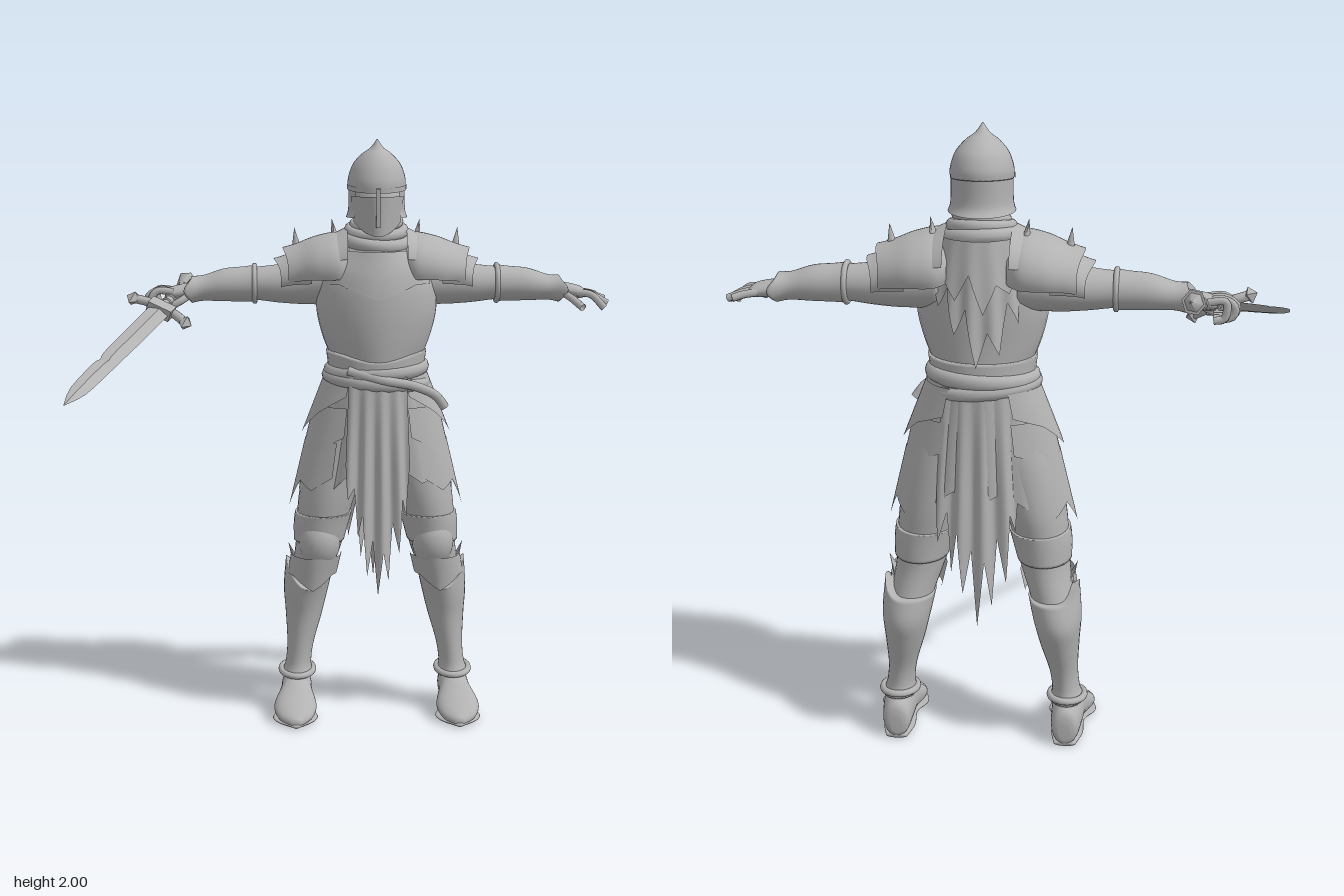
import * as THREE from 'three';

const steel = new THREE.MeshStandardMaterial({ color: 0xb2b2b2, side: THREE.DoubleSide });
steel.name = 'grey steel';

function add(parent, name, geo, pos = [0, 0, 0], scale = [1, 1, 1], rot = [0, 0, 0]) {
  const m = new THREE.Mesh(geo, steel);
  m.name = name;
  m.position.set(...pos);
  m.scale.set(...scale);
  m.rotation.set(...rot);
  parent.add(m);
  return m;
}

const cubic = (a, b, c, d, t) =>
  b + 0.5 * t * (c - a + t * (2 * a - 5 * b + 4 * c - d + t * (3 * (b - c) + d - a)));

// Smooth skin over elliptical rings; row = [along axis, centre p, centre q, radius p, radius q].
function loft(rows, { axis = 'y', seg = 32, sub = 5, a0 = 0, a1 = Math.PI * 2, mod } = {}) {
  const pos = [], idx = [], closed = a1 - a0 > 6.28, n = closed ? seg : seg + 1;
  const count = (rows.length - 1) * sub;
  const put = (t, p, q) => pos.push(...(axis === 'y' ? [p, t, q] : axis === 'x' ? [t, p, q] : [p, q, t]));
  const flip = (axis !== 'y') !== (rows[0][0] > rows[rows.length - 1][0]);
  const tri = (a, b, c) => (flip ? idx.push(a, c, b) : idx.push(a, b, c));
  for (let i = 0; i <= count; i++) {
    const k = Math.min(Math.floor(i / sub), rows.length - 2), f = i / sub - k;
    const at = (j) => rows[Math.max(0, Math.min(rows.length - 1, j))];
    const [t, p, q, rp, rq] = rows[0].map((_, c) =>
      cubic(at(k - 1)[c], at(k)[c], at(k + 1)[c], at(k + 2)[c], f));
    for (let j = 0; j < n; j++) {
      const a = a0 + ((a1 - a0) * j) / seg;
      const v = [t, p + rp * Math.sin(a), q + rq * Math.cos(a)];
      if (mod) mod(v, a, i / count);
      put(...v);
    }
  }
  for (let i = 0; i < count; i++) for (let j = 0; j < seg; j++) {
    const a = i * n + j, b = i * n + ((j + 1) % n);
    tri(a, b, b + n);
    tri(a, b + n, a + n);
  }
  if (closed) [0, count].forEach((i) => {
    const r = rows[i ? rows.length - 1 : 0], c = pos.length / 3;
    put(r[0], r[1], r[2]);
    for (let j = 0; j < n; j++) {
      const a = i * n + j, b = i * n + ((j + 1) % n);
      i ? tri(a, b, c) : tri(b, a, c);
    }
  });
  const g = new THREE.BufferGeometry();
  g.setAttribute('position', new THREE.Float32BufferAttribute(pos, 3));
  g.setIndex(idx);
  g.computeVertexNormals();
  return g;
}

// Hanging sheet around the body: lens gives the ragged hem, radii run from top to the height `drop` below.
function sheet(a0, a1, top, lens, r0, r1, { drop = 0.4, cz = -0.305, fold = 0, folds = 5 } = {}) {
  const cols = (lens.length - 1) * 4, g = new THREE.PlaneGeometry(1, 1, cols, 14), p = g.attributes.position;
  for (let i = 0; i < p.count; i++) {
    const u = p.getX(i) + 0.5, v = 0.5 - p.getY(i), s = u * (lens.length - 1);
    const k = Math.min(Math.floor(s), lens.length - 2);
    const d = v * THREE.MathUtils.lerp(lens[k], lens[k + 1], s - k), h = d / drop, a = a0 + (a1 - a0) * u;
    const w = fold * Math.min(1, h + 0.2) * Math.sin(u * Math.PI * 2 * folds);
    p.setXYZ(i, (r0[0] + (r1[0] - r0[0]) * h + w) * Math.sin(a), top - d,
      cz + (r0[1] + (r1[1] - r0[1]) * h + w) * Math.cos(a));
  }
  g.computeVertexNormals();
  return g;
}

const tube = (pts, r, n = 16) => new THREE.TubeGeometry(
  new THREE.CatmullRomCurve3(pts.map((p) => new THREE.Vector3(...p))), n, r, 8);
const ball = () => new THREE.SphereGeometry(1, 24, 16);
const ring = (r, t) => new THREE.TorusGeometry(r, t, 10, 40).rotateX(Math.PI / 2);

function torso(body) {
  const ridge = (v, a) => { v[2] += 0.012 * Math.max(0, Math.cos(a)) ** 8; };
  add(body, 'breastplate', loft([[1.22, 0, -0.295, 0.15, 0.14], [1.26, 0, -0.29, 0.155, 0.14],
    [1.34, 0, -0.285, 0.185, 0.145], [1.43, 0, -0.285, 0.205, 0.15], [1.52, 0, -0.29, 0.2, 0.15],
    [1.6, 0, -0.305, 0.17, 0.14], [1.66, 0, -0.31, 0.11, 0.115], [1.71, 0, -0.3, 0.085, 0.09]], { mod: ridge }));
  add(body, 'upperChestPlate', loft([[1.52, 0, -0.29, 0.2, 0.158], [1.57, 0, -0.297, 0.187, 0.154],
    [1.63, 0, -0.305, 0.14, 0.138]], { a0: -1.1, a1: 1.1, mod: (v, a, t) => {
    ridge(v, a);
    v[0] -= (1 - t) * 0.05 * Math.max(0, 1 - Math.abs(a) / 0.7);
  } }));
  add(body, 'waistPlate', loft([[1.23, 0, -0.29, 0.165, 0.15], [1.29, 0, -0.288, 0.172, 0.15]],
    { mod: (v, a) => { v[0] -= 0.03 * Math.max(0, Math.cos(a)) ** 4; } }));
  [[1.665, 0.105, 0.022], [1.695, 0.092, 0.018], [1.72, 0.078, 0.014]].forEach(([y, r, t], i) =>
    add(body, 'collarFold', ring(r, t), [0, y, -0.3], [1, 1.1, 1.08], [0.18, 0, (i - 1) * 0.07]));
  add(body, 'tornCape', sheet(Math.PI - 0.95, Math.PI + 0.95, 1.67, [0.1, 0.2, 0.14, 0.28, 0.2, 0.38, 0.27, 0.34, 0.18, 0.25, 0.1],
    [0.15, 0.145], [0.2, 0.175], { fold: 0.008 }));
  add(body, 'tornCapeOverlay', sheet(Math.PI - 1.1, Math.PI + 1.1, 1.68, [0.05, 0.1, 0.12, 0.18, 0.1, 0.22, 0.13, 0.16, 0.1, 0.06],
    [0.14, 0.15], [0.23, 0.21], { fold: 0.006 }));
}

function helmet(body) {
  add(body, 'helmetCrown', loft([[1.838, 0, -0.28, 0.097, 0.12], [1.87, 0, -0.28, 0.097, 0.119],
    [1.915, 0, -0.278, 0.082, 0.1], [1.95, 0, -0.27, 0.052, 0.066], [1.972, 0, -0.262, 0.022, 0.028],
    [2, 0, -0.255, 0.002, 0.002]], { mod: (v, a, t) => { v[0] -= 0.012 * (1 - t) * Math.cos(a); } }));
  add(body, 'head', ball(), [0, 1.79, -0.28], [0.086, 0.1, 0.1]);
  add(body, 'helmetBack', loft([[1.74, 0, -0.29, 0.104, 0.125], [1.77, 0, -0.285, 0.096, 0.11],
    [1.85, 0, -0.28, 0.095, 0.113]], { a0: 0.85, a1: 5.43 }));
  add(body, 'visor', loft([[1.735, 0, -0.275, 0.087, 0.1], [1.78, 0, -0.278, 0.093, 0.11],
    [1.812, 0, -0.28, 0.097, 0.118]], { a0: -1.15, a1: 1.15, mod: (v, a, t) => {
    const c = Math.max(0, Math.cos(a));
    v[0] -= 0.055 * (1 - t) * c ** 2;
    v[2] += 0.014 * c ** 8;
  } }));
  add(body, 'nasalRidge', new THREE.BoxGeometry(0.014, 0.13, 0.014), [0, 1.775, -0.153], [1, 1, 1], [0.08, 0, 0]);
  add(body, 'browBand', loft([[1.835, 0, -0.28, 0.1, 0.124], [1.852, 0, -0.28, 0.1, 0.125]], { a0: -1.5, a1: 1.5,
    mod: (v, a) => { v[0] -= 0.012 * Math.cos(a); } }));
}

function skirt(body) {
  add(body, 'hips', loft([[0.86, 0, -0.305, 0.1, 0.1], [0.95, 0, -0.305, 0.2, 0.13],
    [1.1, 0, -0.3, 0.2, 0.14], [1.25, 0, -0.295, 0.15, 0.138]]));
  add(body, 'underskirt', sheet(0, Math.PI * 2, 1.24, [0.36, 0.34, 0.4, 0.38, 0.45, 0.41, 0.47, 0.36, 0.42, 0.36, 0.4,
    0.36, 0.42, 0.36, 0.47, 0.41, 0.46, 0.38, 0.42, 0.35, 0.36], [0.165, 0.14], [0.255, 0.155], { fold: 0.008, folds: 12 }));
  add(body, 'waistSash', ring(0.158, 0.024), [0, 1.225, -0.295], [1, 1.1, 0.9], [0.05, 0, 0.05]);
  add(body, 'waistSashLower', ring(0.168, 0.02), [0, 1.19, -0.295], [1, 1.1, 0.88], [0.05, 0, -0.08]);
  add(body, 'sashTail', tube([[-0.1, 1.23, -0.165], [0.02, 1.2, -0.138], [0.12, 1.18, -0.155],
    [0.2, 1.14, -0.19], [0.23, 1.1, -0.2]], 0.016));
  add(body, 'frontCloth', sheet(-0.46, 0.46, 1.21, [0.3, 0.42, 0.38, 0.55, 0.47, 0.68, 0.56, 0.75, 0.6, 0.7, 0.5, 0.6, 0.42, 0.48, 0.3],
    [0.22, 0.162], [0.255, 0.175], { fold: 0.009, folds: 4 }));
  add(body, 'backCloth', sheet(Math.PI - 0.6, Math.PI + 0.6, 1.21, [0.3, 0.5, 0.4, 0.6, 0.46, 0.66, 0.52, 0.77, 0.55, 0.7, 0.48, 0.62, 0.4, 0.46, 0.3],
    [0.2, 0.14], [0.24, 0.165], { fold: 0.009, folds: 4 }));
}

// Everything on one flank, in coordinates for the model's left.
function flank(side, curled) {
  // hip plates
  [[0.55, 2.6, 1.21, [0.07, 0.13, 0.21, 0.13, 0.09], 0.176, 0.152, 0.33], [0.5, 2.65, 1.1, [0.1, 0.16, 0.25, 0.14, 0.1], 0.215, 0.152, 0.31],
    [0.6, 2.5, 0.98, [0.12, 0.17, 0.14, 0.24, 0.16, 0.2, 0.1], 0.245, 0.154, 0.34]].forEach(([a0, a1, y, lens, rx, rz, bx]) =>
    add(side, 'hipPlate', sheet(a0, a1, y, lens, [rx, rz], [bx, 0.178])));
  // leg
  add(side, 'leg', loft([[1.08, 0.1, -0.305, 0.1, 0.12], [0.95, 0.13, -0.31, 0.11, 0.125], [0.8, 0.165, -0.31, 0.1, 0.125],
    [0.7, 0.185, -0.31, 0.09, 0.115], [0.6, 0.2, -0.315, 0.08, 0.105], [0.5, 0.225, -0.345, 0.07, 0.09],
    [0.4, 0.245, -0.365, 0.065, 0.09], [0.25, 0.262, -0.345, 0.042, 0.066], [0.1, 0.275, -0.34, 0.042, 0.066]]));
  add(side, 'thighCuff', loft([[0.72, 0.182, -0.31, 0.099, 0.124], [0.68, 0.19, -0.312, 0.096, 0.12],
    [0.62, 0.198, -0.315, 0.088, 0.115]]));
  add(side, 'kneeCap', ball(), [0.197, 0.62, -0.262], [0.072, 0.095, 0.078], [0.1, 0.15, 0]);
  add(side, 'kneeWing', new THREE.ConeGeometry(0.045, 0.12, 12), [0.285, 0.55, -0.32], [0.4, 1, 1.3], [0, 0, -0.35]);
  add(side, 'kneeLame', loft([[0.5, 0.222, -0.318, 0.086, 0.1], [0.57, 0.208, -0.312, 0.088, 0.116]], { a0: -1.7, a1: 1.9,
    mod: (v, a, t) => { v[0] -= (1 - t) * 0.05 * Math.max(0, 1 - Math.abs(a) / 0.9); } }));
  add(side, 'greave', loft([[0.5, 0.232, -0.35, 0.082, 0.108], [0.42, 0.245, -0.365, 0.077, 0.108],
    [0.34, 0.252, -0.36, 0.064, 0.09], [0.24, 0.264, -0.345, 0.047, 0.07], [0.17, 0.272, -0.34, 0.045, 0.067],
    [0.13, 0.276, -0.34, 0.056, 0.08]], { mod: (v, a, t) => {
    v[0] += (1 - t) ** 4 * (0.05 * Math.max(0, Math.sin(a)) ** 4 - 0.05 * Math.max(0, Math.cos(a)) ** 3);
  } }));
  add(side, 'ankleBand', ring(0.056, 0.011), [0.276, 0.14, -0.34], [1, 1, 1.35], [0.1, 0, 0]);
  add(side, 'boot', loft([[-0.445, 0.275, 0.05, 0.02, 0.03], [-0.43, 0.276, 0.062, 0.043, 0.06], [-0.36, 0.278, 0.075, 0.052, 0.074],
    [-0.28, 0.28, 0.068, 0.056, 0.064], [-0.2, 0.284, 0.045, 0.074, 0.043], [-0.13, 0.284, 0.028, 0.058, 0.027],
    [-0.085, 0.282, 0.015, 0.015, 0.014]], { axis: 'z', mod: (v) => { v[2] = Math.max(v[2], 0.004); } }));
  add(side, 'bootSole', loft([[-0.44, 0.276, 0.008, 0.035, 0.008], [-0.36, 0.278, 0.008, 0.052, 0.008],
    [-0.28, 0.28, 0.014, 0.05, 0.008], [-0.2, 0.284, 0.008, 0.078, 0.008], [-0.13, 0.284, 0.008, 0.06, 0.008],
    [-0.078, 0.282, 0.008, 0.01, 0.006]], { axis: 'z' }));
  // arm
  add(side, 'arm', loft([[0.12, 1.53, -0.32, 0.09, 0.1], [0.24, 1.52, -0.33, 0.08, 0.085], [0.33, 1.512, -0.33, 0.066, 0.073],
    [0.42, 1.512, -0.33, 0.056, 0.06], [0.5, 1.507, -0.33, 0.055, 0.056], [0.63, 1.49, -0.33, 0.033, 0.038]], { axis: 'x' }));
  add(side, 'vambrace', loft([[0.41, 1.512, -0.33, 0.064, 0.066], [0.45, 1.51, -0.33, 0.06, 0.063], [0.52, 1.507, -0.33, 0.056, 0.06],
    [0.59, 1.497, -0.33, 0.044, 0.052], [0.63, 1.492, -0.33, 0.046, 0.066]], { axis: 'x', mod: (v, a, t) => {
    v[0] += 0.025 * t ** 4 * Math.abs(Math.cos(a)) ** 4;
  } }));
  add(side, 'elbowBand', ring(0.056, 0.009), [0.415, 1.512, -0.33], [1.08, 1, 1.08], [0, 0, 1.57]);
  // shoulder lames, open underneath
  const lame = (rows, drop) => loft(rows, { axis: 'x', a0: -0.35, a1: Math.PI + 0.35, sub: 6,
    mod: (v, a, t) => { v[0] += drop * t ** 3 * Math.max(0, Math.sin(a)) ** 3; } });
  add(side, 'shoulderPlate', lame([[0.09, 1.575, -0.32, 0.085, 0.13], [0.13, 1.575, -0.32, 0.112, 0.16],
    [0.2, 1.57, -0.325, 0.105, 0.155], [0.26, 1.56, -0.33, 0.09, 0.13], [0.3, 1.55, -0.33, 0.085, 0.115]], 0.02));
  add(side, 'shoulderLame', lame([[0.22, 1.55, -0.33, 0.09, 0.125], [0.29, 1.54, -0.33, 0.076, 0.11],
    [0.325, 1.53, -0.33, 0.068, 0.102]], 0.025));
  add(side, 'shoulderRim', loft([[0.1, 1.58, -0.32, 0.125, 0.165], [0.135, 1.58, -0.32, 0.108, 0.155]], { axis: 'x', a0: 0.2, a1: 2.94 }));
  add(side, 'shoulderSpike', new THREE.ConeGeometry(0.017, 0.075, 12), [0.275, 1.665, -0.33], [1, 1, 1], [0, 0, -0.1]);
  add(side, 'collarSpike', new THREE.ConeGeometry(0.022, 0.07, 12), [0.145, 1.695, -0.35], [0.7, 1, 1.5], [0, 0, -0.15]);
  // hand
  add(side, 'palm', loft([[0.6, 1.495, -0.33, 0.028, 0.033], [0.65, 1.488, -0.328, 0.026, 0.042],
    [0.7, 1.48, -0.326, 0.022, 0.046], [0.72, 1.476, -0.326, 0.012, 0.04]], { axis: 'x' }));
  [0.765, 0.79, 0.795, 0.78].forEach((x, i) => {
    const z = -0.362 + i * 0.024, fan = (i - 1.5) * 0.008;
    add(side, 'finger', tube(curled
      ? [[0.69, 1.487, z], [0.745, 1.49, z], [x - 0.015, 1.465, z], [x - 0.025, 1.435, z], [0.71, 1.43, z]]
      : [[0.69, 1.48, z], [0.735, 1.474, z + fan], [x, 1.43 + (3 - i) * 0.012, z + fan * 2]], 0.0125));
  });
  add(side, 'thumb', tube(curled ? [[0.63, 1.48, -0.3], [0.67, 1.455, -0.275], [0.72, 1.43, -0.28], [0.735, 1.425, -0.29]]
    : [[0.63, 1.485, -0.3], [0.665, 1.465, -0.265], [0.7, 1.435, -0.222]], 0.0135));
}

// Sword laid out along its own y axis with the guard at the origin.
function sword() {
  const g = new THREE.Group();
  g.name = 'sword';
  const blade = loft([[0, 0, 0, 0.036, 0.013], [0.25, 0, 0, 0.035, 0.012], [0.42, 0, 0, 0.032, 0.011], [0.46, 0.004, 0, 0.028, 0.011],
    [0.5, 0, 0, 0.031, 0.01], [0.68, 0, 0, 0.026, 0.009], [0.785, 0, 0, 0.001, 0.001]], { seg: 4, sub: 3 }).toNonIndexed();
  blade.computeVertexNormals();
  add(g, 'blade', blade);
  add(g, 'bladeCollar', new THREE.BoxGeometry(0.085, 0.05, 0.04), [0, 0.01, 0]);
  add(g, 'grip', new THREE.CylinderGeometry(0.016, 0.018, 0.21, 14), [0, -0.11, 0]);
  for (let i = 0; i < 5; i++) add(g, 'gripWrap', ring(0.017, 0.004), [0, -0.04 - i * 0.032, 0]);
  for (const s of [-1, 1]) {
    add(g, 'guardArm', tube([[0, 0, 0], [s * 0.05, 0.002, 0], [s * 0.095, 0.022, 0]], 0.016));
    add(g, 'guardTip', new THREE.OctahedronGeometry(0.03), [s * 0.098, 0.024, 0], [0.8, 1.3, 0.9]);
  }
  add(g, 'pommel', new THREE.CylinderGeometry(0.04, 0.02, 0.045, 6), [0, -0.215, 0], [1, -1, 1]);
  add(g, 'pommelCap', new THREE.ConeGeometry(0.036, 0.035, 6), [0, -0.25, 0], [1, 1, 1], [Math.PI, 0, 0]);
  const y = new THREE.Vector3(-0.252, -0.22, 0.71).normalize();
  const x = new THREE.Vector3(0.2, -0.09, 0.04);
  x.addScaledVector(y, -x.dot(y)).normalize();
  g.quaternion.setFromRotationMatrix(new THREE.Matrix4().makeBasis(x, y, x.clone().cross(y)));
  g.position.set(-0.638, 1.44, -0.22);
  return g;
}

export function createModel() {
  const root = new THREE.Group(), body = new THREE.Group();
  root.name = 'armouredKnight';
  body.name = 'body';
  body.position.x = 0.088;
  torso(body);
  helmet(body);
  skirt(body);
  for (const s of [1, -1]) {
    const side = new THREE.Group();
    side.name = s > 0 ? 'leftSide' : 'rightSide';
    side.scale.x = s;
    flank(side, s < 0);
    body.add(side);
  }
  root.add(body, sword());
  return root;
}
